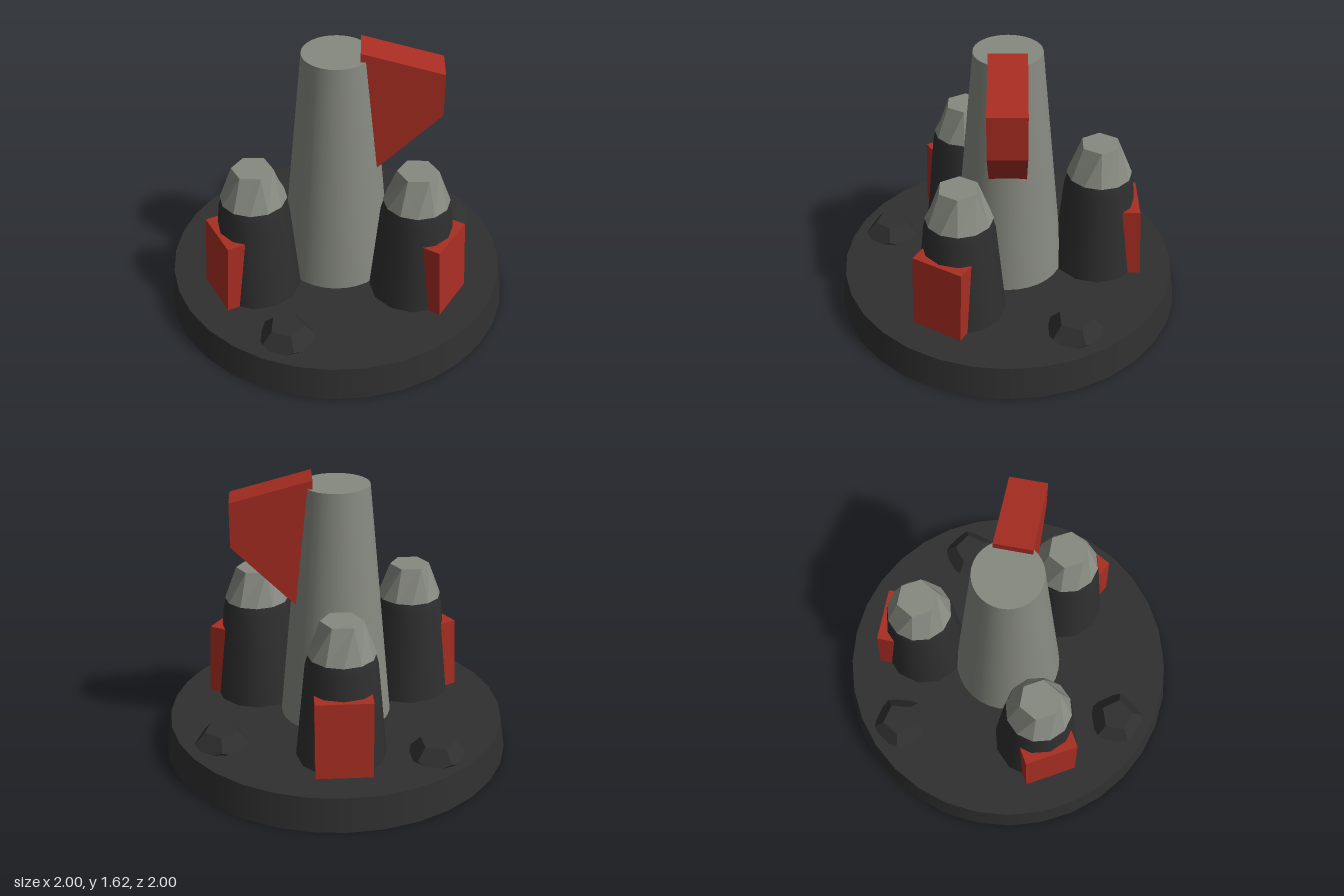
import * as THREE from 'three';

const dark = new THREE.MeshStandardMaterial({ color: 0x2f2f2f });
dark.name = 'charcoal';
const grey = new THREE.MeshStandardMaterial({ color: 0x868980 });
grey.name = 'stone grey';
const red = new THREE.MeshStandardMaterial({ color: 0xa82d22 });
red.name = 'brick red';

const DECK = 0.19;

function part(name, geometry, material, parent) {
  const mesh = new THREE.Mesh(geometry, material);
  mesh.name = name;
  parent.add(mesh);
  return mesh;
}

// Faceted copy of a geometry
function faceted(geometry) {
  const flat = geometry.index ? geometry.toNonIndexed() : geometry;
  flat.computeVertexNormals();
  return flat;
}

// Twelve-sided cone frustum whose top ring merges into a hexagon
function capGeometry() {
  const g = new THREE.CylinderGeometry(0.115, 0.187, 0.19, 12);
  const p = g.attributes.position;
  const step = Math.PI / 3;
  for (let i = 0; i < p.count; i++) {
    const r = Math.hypot(p.getX(i), p.getZ(i));
    if (p.getY(i) < 0 || r < 0.01) continue;
    const a = Math.atan2(p.getX(i), p.getZ(i));
    const s = (Math.round(a / step - 0.5 + 1e-3) + 0.5) * step;
    p.setX(i, r * Math.sin(s));
    p.setZ(i, r * Math.cos(s));
  }
  return faceted(g);
}

// Upright block leaning inward as it rises
function buttressGeometry() {
  const h = 0.43;
  const g = new THREE.BoxGeometry(0.31, h, 0.11);
  const p = g.attributes.position;
  for (let i = 0; i < p.count; i++) {
    p.setZ(i, p.getZ(i) - (p.getY(i) / h) * 0.026);
  }
  return faceted(g);
}

export function createModel() {
  const model = new THREE.Group();
  model.name = 'towerOutpost';

  // Round base
  part('base', new THREE.CylinderGeometry(0.97, 1, DECK, 32), dark, model).position.y = DECK / 2;

  // Tapered central tower
  part('tower', new THREE.CylinderGeometry(0.19, 0.32, 1.57 - DECK, 32), grey, model)
    .position.y = (1.57 + DECK) / 2;

  // Angular banner block on the tower
  const outline = new THREE.Shape([
    [0.13, 1.62], [0.13, 0.87], [0.2, 0.87], [0.58, 1.25], [0.58, 1.5],
  ].map(([x, y]) => new THREE.Vector2(x, y)));
  part('banner', new THREE.ExtrudeGeometry(outline, { depth: 0.21, bevelEnabled: false }), red, model)
    .position.z = -0.105;

  // Three turrets, each with a cap and an outer buttress
  const profile = [[0.25, DECK], [0.225, 0.45], [0.197, 0.74], [0.178, 0.81]]
    .map(([r, y]) => new THREE.Vector2(r, y));
  const bodyGeo = new THREE.LatheGeometry(profile, 12);
  const capGeo = capGeometry();
  const buttressGeo = buttressGeometry();
  for (let i = 0; i < 3; i++) {
    const angle = Math.PI + (i * Math.PI * 2) / 3;
    const turret = new THREE.Group();
    turret.name = 'turret' + (i + 1);
    turret.rotation.y = angle;
    model.add(turret);
    part('turretBody', bodyGeo, dark, turret).position.z = 0.52;
    const cap = part('turretCap', capGeo, grey, turret);
    cap.position.set(0, 0.895, 0.52);
    cap.rotation.y = -angle;
    part('buttress', buttressGeo, red, turret).position.set(0, 0.405, 0.711);
  }

  // Low boulders on the deck
  const rockGeo = new THREE.DodecahedronGeometry(0.16);
  rockGeo.rotateX(0.553574); // lays one facet level on top
  rockGeo.scale(1, 0.66, 1);
  faceted(rockGeo);
  [[-0.52, -0.57, 0.4], [0.66, -0.37, 1.3], [-0.25, 0.72, 2.2]].forEach(([x, z, turn], i) => {
    const rock = part('boulder' + (i + 1), rockGeo, dark, model);
    rock.position.set(x, DECK, z);
    rock.rotation.y = turn;
  });

  return model;
}
